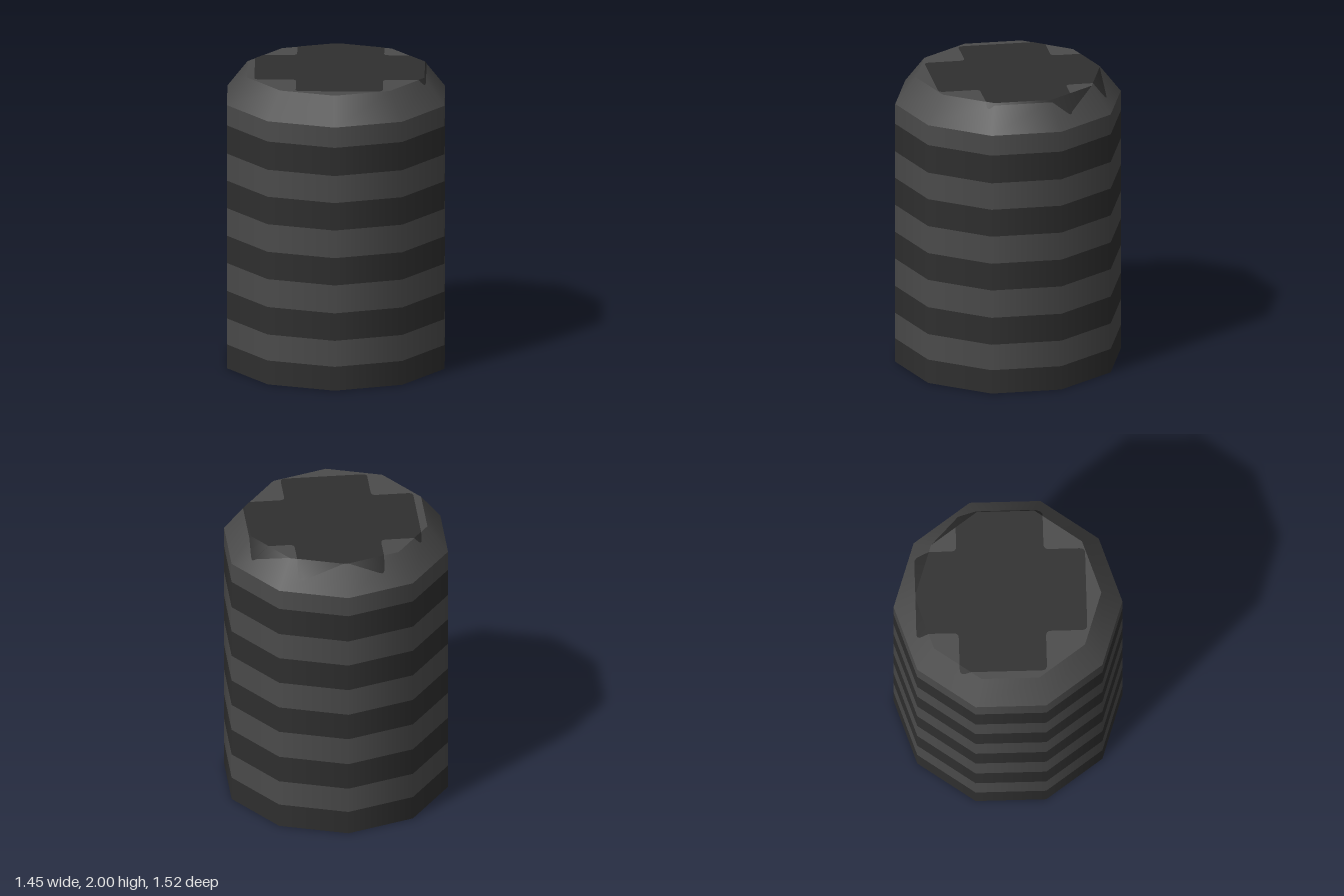
import * as THREE from 'three';

const SIDES = 10, R = 0.76, R_TOP = 0.62, SHOULDER = 1.82, TOP = 2;
const LIFT = 0.0015;
const STEP = Math.PI / SIDES;
const APOTHEM = R_TOP * Math.cos(STEP);

// Keeps the part of a 2D polygon where nx*x + ny*y <= d.
function clip(points, nx, ny, d) {
  const out = [];
  points.forEach((p, i) => {
    const q = points[(i + 1) % points.length];
    const a = nx * p.x + ny * p.y - d, b = nx * q.x + ny * q.y - d;
    if (a <= 0) out.push(p);
    if (a * b < 0) out.push(p.clone().lerp(q, a / (a - b)));
  });
  return out;
}

// Cross outline with softened corners (x, -z).
function crossOutline() {
  const [l, r, b, t] = [-0.54, 0.6, -0.245, 0.335]; // wide bar
  const [l2, r2, b2, t2] = [-0.262, 0.316, -0.52, 0.615]; // long bar
  const c = [[l2, b2], [r2, b2], [r2, b], [r, b], [r, t], [r2, t], [r2, t2], [l2, t2], [l2, t], [l, t], [l, b], [l2, b]]
    .map(([x, y]) => new THREE.Vector2(x, y));
  const points = [];
  c.forEach((p, i) => {
    const toward = (q) => p.clone().add(q.clone().sub(p).setLength(0.035));
    const start = toward(c[(i + 11) % 12]), end = toward(c[(i + 1) % 12]);
    points.push(...new THREE.QuadraticBezierCurve(start, p, end).getPoints(4));
  });
  return points;
}

export function createModel() {
  const group = new THREE.Group();
  const light = new THREE.MeshStandardMaterial({ color: 0x4b4b4b });
  const dark = new THREE.MeshStandardMaterial({ color: 0x2f2f2f });
  light.name = 'grey';
  dark.name = 'charcoal';

  const add = (name, geometry, material, y = 0) => {
    const mesh = new THREE.Mesh(geometry, material);
    mesh.name = name;
    mesh.position.y = y;
    group.add(mesh);
  };

  // Striped wall
  const levels = [0, 0.165, 0.345, 0.535, 0.728, 0.917, 1.108, 1.298, 1.485, 1.68, SHOULDER];
  for (let i = 0; i < levels.length - 1; i++) {
    const h = levels[i + 1] - levels[i];
    add(`band${i + 1}`, new THREE.CylinderGeometry(R, R, h, SIDES, 1, true), i % 2 ? light : dark, levels[i] + h / 2);
  }

  // Sloped shoulder and end caps
  const slopeHeight = TOP - SHOULDER;
  add('shoulder', new THREE.CylinderGeometry(R_TOP, R, slopeHeight, SIDES, 1, true), light, SHOULDER + slopeHeight / 2);
  add('topCap', new THREE.CircleGeometry(R_TOP, SIDES, Math.PI / 2).rotateX(-Math.PI / 2), light, TOP);
  add('bottomCap', new THREE.CircleGeometry(R, SIDES, Math.PI / 2).rotateX(Math.PI / 2), dark);

  // Dark cross: a flat piece on the cap, and pieces folded over the shoulder
  const cross = crossOutline();
  const plate = (points) => new THREE.ShapeGeometry(new THREE.Shape(points)).rotateX(-Math.PI / 2);
  const slope = slopeHeight / ((R - R_TOP) * Math.cos(STEP));
  const tilt = Math.atan2(R - R_TOP, slopeHeight);

  let flat = cross;
  for (let k = 0; k < SIDES; k++) {
    const mid = STEP * (2 * k + 1), a = mid - STEP, b = mid + STEP;
    const nx = Math.sin(mid), ny = Math.cos(mid);
    flat = clip(flat, nx, ny, APOTHEM);

    let piece = clip(cross, -nx, -ny, -APOTHEM);
    piece = clip(piece, -Math.cos(a), Math.sin(a), 0);
    piece = clip(piece, Math.cos(b), -Math.sin(b), 0);
    if (piece.length < 3 || Math.abs(THREE.ShapeUtils.area(piece)) < 1e-5) continue;

    const geometry = plate(piece);
    const pos = geometry.attributes.position, normal = geometry.attributes.normal;
    for (let i = 0; i < pos.count; i++) {
      const x = pos.getX(i), z = pos.getZ(i), r = Math.hypot(x, z);
      pos.setY(i, TOP + LIFT - slope * (nx * x - ny * z - APOTHEM));
      normal.setXYZ(i, x / r * Math.cos(tilt), Math.sin(tilt), z / r * Math.cos(tilt));
    }
    add(`crossFold${k + 1}`, geometry, dark);
  }
  add('crossTop', plate(flat), dark, TOP + LIFT);

  return group;
}
